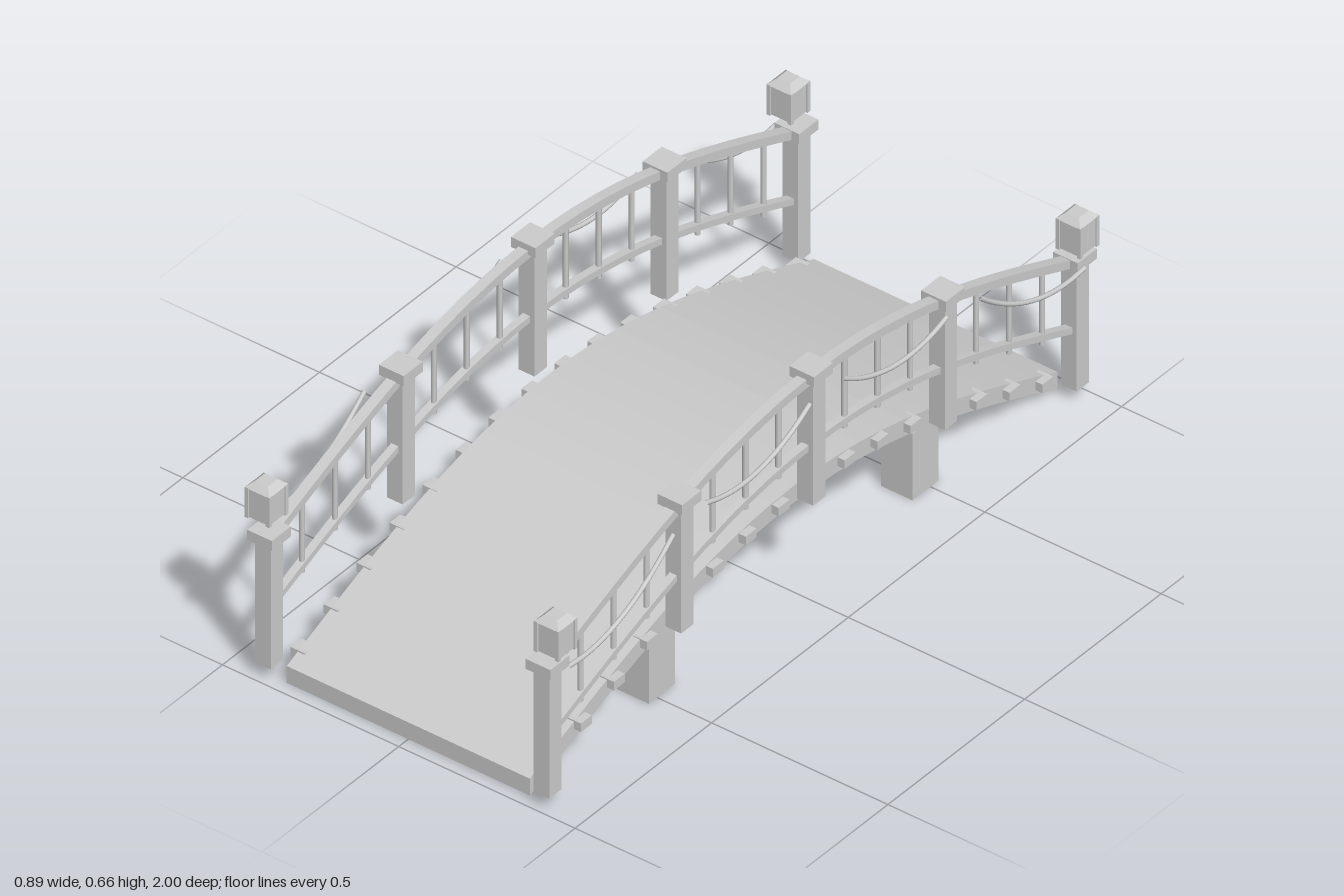
import * as THREE from 'three';

const HALF = 0.965;   // half length of the arch
const RISE = 0.25;    // height gained at the middle
const arch = (z) => RISE * Math.cos((z / HALF) * Math.PI / 2);

export function createModel() {
  const bridge = new THREE.Group();
  bridge.name = 'archedBridge';
  const grey = new THREE.MeshStandardMaterial({ color: 0xcccccc });
  grey.name = 'lightGrey';

  const add = (parent, name, geometry, x = 0, y = 0, z = 0) => {
    const mesh = new THREE.Mesh(geometry, grey);
    mesh.name = name;
    mesh.position.set(x, y, z);
    parent.add(mesh);
    return mesh;
  };
  const box = (parent, name, w, h, d, x, y, z) =>
    add(parent, name, new THREE.BoxGeometry(w, h, d), x, y, z);

  // Band that follows the arch, extruded across the width
  const archBand = (bottom, top, width) => {
    const steps = 24;
    const lower = [], upper = [];
    for (let i = 0; i <= steps; i++) {
      const z = -HALF + (2 * HALF * i) / steps;
      lower.push(new THREE.Vector2(z, bottom + arch(z)));
      upper.unshift(new THREE.Vector2(z, top + arch(z)));
    }
    const shape = new THREE.Shape([...lower, ...upper]);
    return new THREE.ExtrudeGeometry(shape, { depth: width, bevelEnabled: false })
      .translate(0, 0, -width / 2)
      .rotateY(-Math.PI / 2);
  };

  // Rope hanging between two points along the railing
  const rope = (z0, y0, z1, y1) => {
    const points = [];
    for (let i = 0; i <= 8; i++) {
      const t = i / 8;
      const y = y0 + (y1 - y0) * t - 0.05 * 4 * t * (1 - t);
      points.push(new THREE.Vector3(0, y, z0 + (z1 - z0) * t));
    }
    return new THREE.TubeGeometry(new THREE.CatmullRomCurve3(points), 20, 0.006, 8);
  };

  // Lantern: body, corner bars and a sloped roof
  const lantern = (x, z) => {
    const group = new THREE.Group();
    group.name = 'lantern';
    group.position.set(x, 0.475, z);
    box(group, 'lanternBody', 0.062, 0.08, 0.062, 0, 0, 0);
    for (const sx of [-1, 1]) {
      for (const sz of [-1, 1]) {
        box(group, 'lanternCornerBar', 0.01, 0.084, 0.01, sx * 0.03, 0, sz * 0.03);
      }
    }
    const roof = new THREE.CylinderGeometry(0.018 * Math.SQRT2, 0.035 * Math.SQRT2, 0.016, 4)
      .rotateY(Math.PI / 4).toNonIndexed();
    roof.computeVertexNormals();
    add(group, 'lanternRoof', roof, 0, 0.049, 0);
    bridge.add(group);
  };

  // Deck
  add(bridge, 'deck', archBand(0, 0.047, 0.69));

  for (const side of [-1, 1]) {
    const railX = side * 0.395;

    // Plank ends poking out of the deck edge
    for (let i = 0; i < 16; i++) {
      const z = (i - 7.5) * (2 * HALF / 16);
      box(bridge, 'plankEnd', 0.04, 0.024, 0.04, side * 0.345, 0.031 + arch(z), z);
    }

    // Railing posts with caps
    for (const z of [-HALF, -HALF / 2, 0, HALF / 2, HALF]) {
      box(bridge, 'post', 0.045, 0.35, 0.045, railX, 0.213 + arch(z), z);
      box(bridge, 'postCap', 0.07, 0.028, 0.07, railX, 0.396 + arch(z), z);
    }

    // Handrail and lower rail
    add(bridge, 'handrail', archBand(0.37, 0.394, 0.027), railX);
    add(bridge, 'lowerRail', archBand(0.184, 0.202, 0.02), railX);

    // Balusters, three per bay
    for (let i = 1; i < 16; i++) {
      if (i % 4 === 0) continue;
      const z = -HALF + (i * HALF) / 8;
      add(bridge, 'baluster', new THREE.CylinderGeometry(0.007, 0.007, 0.21, 8),
        railX, 0.274 + arch(z), z);
    }

    for (const end of [-1, 1]) {
      // Hanging ropes on the outside
      add(bridge, 'lowerRope', rope(end * 0.945, 0.392, end * 0.56, 0.535), side * 0.438);
      add(bridge, 'upperRope', rope(end * 0.44, 0.552, end * 0.06, 0.605), side * 0.438);

      // Lanterns above the end posts
      lantern(side * 0.41, end * 0.955);

      // Support piers
      box(bridge, 'pier', 0.09, 0.185, 0.095, side * 0.3, 0.0925, end * HALF / 2);
    }
  }
  return bridge;
}
